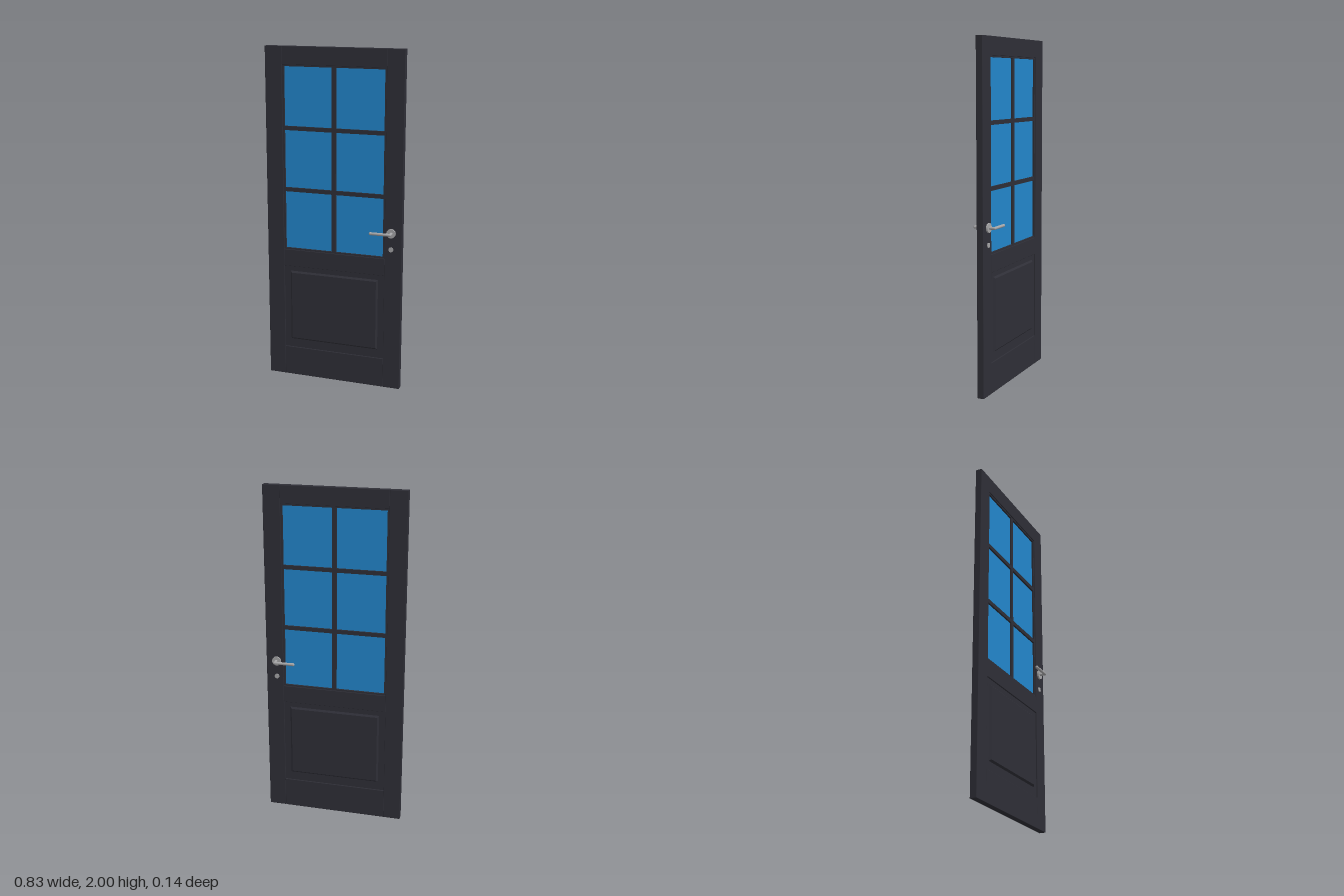
import * as THREE from 'three';
import { RoundedBoxGeometry } from 'three/addons/geometries/RoundedBoxGeometry.js';

const paint = new THREE.MeshStandardMaterial({ color: 0x2e2e36 });
paint.name = 'dark paint';
const glass = new THREE.MeshStandardMaterial({ color: 0x2286cb });
glass.name = 'blue glass';
const metal = new THREE.MeshStandardMaterial({ color: 0xa4a4a6 });
metal.name = 'brushed metal';

const W = 0.413;      // half width of the door
const IN = 0.311;     // inner edge of the stiles
const T = 0.039;      // thickness of the frame

export function createModel() {
  const door = new THREE.Group();
  door.name = 'door';

  const add = (parent, name, geometry, material, x = 0, y = 0, z = 0) => {
    const mesh = new THREE.Mesh(geometry, material);
    mesh.name = name;
    mesh.position.set(x, y, z);
    parent.add(mesh);
    return mesh;
  };
  // Softly edged board spanning x0..x1 and y0..y1
  const board = (name, x0, x1, y0, y1, depth = T, r = 0.002) =>
    add(door, name, new RoundedBoxGeometry(x1 - x0, y1 - y0, depth, 2, r), paint, (x0 + x1) / 2, (y0 + y1) / 2);
  // Plain square-edged bar
  const bar = (name, x0, x1, y0, y1, depth) =>
    add(door, name, new THREE.BoxGeometry(x1 - x0, y1 - y0, depth), paint, (x0 + x1) / 2, (y0 + y1) / 2);

  // Frame: two stiles and three rails
  board('rightStile', -W, -IN, 0, 2);
  board('leftStile', IN, W, 0, 2);
  board('bottomRail', -IN, IN, 0, 0.18);
  board('middleRail', -IN, IN, 0.7, 0.803);
  board('topRail', -IN, IN, 1.897, 2);

  // Glazing beads around the opening
  const beadDepth = 0.028;
  bar('rightBead', -IN, -0.3, 0.803, 1.897, beadDepth);
  bar('leftBead', 0.3, IN, 0.803, 1.897, beadDepth);
  bar('bottomBead', -0.3, 0.3, 0.803, 0.813, beadDepth);
  bar('topBead', -0.3, 0.3, 1.887, 1.897, beadDepth);

  // Glazing bars
  bar('verticalGlazingBar', -0.013, 0.013, 0.813, 1.887, beadDepth);
  for (const y of [1.17, 1.533])
    for (const s of [-1, 1])
      add(door, 'horizontalGlazingBar', new THREE.BoxGeometry(0.287, 0.024, beadDepth), paint, s * 0.1565, y);

  // Six panes
  const rows = [[0.813, 1.158], [1.182, 1.521], [1.545, 1.887]];
  for (const [y0, y1] of rows)
    for (const s of [-1, 1])
      add(door, 'pane', new THREE.BoxGeometry(0.287, y1 - y0, 0.008), glass, s * 0.1565, (y0 + y1) / 2);

  // Lower panel: recessed board with a bevelled raised field on both faces
  bar('panelBoard', -IN, IN, 0.18, 0.7, 0.024);
  const hw = 0.263, hh = 0.208;
  const field = new THREE.Shape([
    new THREE.Vector2(-hw, -hh), new THREE.Vector2(hw, -hh),
    new THREE.Vector2(hw, hh), new THREE.Vector2(-hw, hh),
  ]);
  const fieldGeometry = new THREE.ExtrudeGeometry(field, {
    depth: 0.024, bevelEnabled: true, bevelThickness: 0.01, bevelSize: 0.01, bevelSegments: 1,
  });
  add(door, 'raisedPanel', fieldGeometry, paint, 0, 0.451, -0.012);

  // Lever handle and key rose, one set on each face
  for (const s of [1, -1]) {
    const set = new THREE.Group();
    set.name = s > 0 ? 'frontHandle' : 'backHandle';
    door.add(set);
    const rod = (name, r, length, x, y, z, segments = 24) =>
      add(set, name, new THREE.CylinderGeometry(r, r, length, segments), metal, x, y, z * s);

    rod('rose', 0.027, 0.011, 0.35, 0.96, 0.0235, 32).rotation.x = Math.PI / 2;
    rod('neck', 0.0085, 0.036, 0.352, 0.96, 0.044).rotation.x = Math.PI / 2;
    rod('lever', 0.0085, 0.112, 0.296, 0.96, 0.06).rotation.z = Math.PI / 2;
    for (const x of [0.238, 0.352])
      add(set, 'leverEnd', new THREE.SphereGeometry(x < 0.3 ? 0.0095 : 0.0085, 20, 14), metal, x, 0.96, 0.06 * s);
    rod('keyRose', 0.014, 0.007, 0.35, 0.863, 0.0215).rotation.x = Math.PI / 2;
  }

  return door;
}
